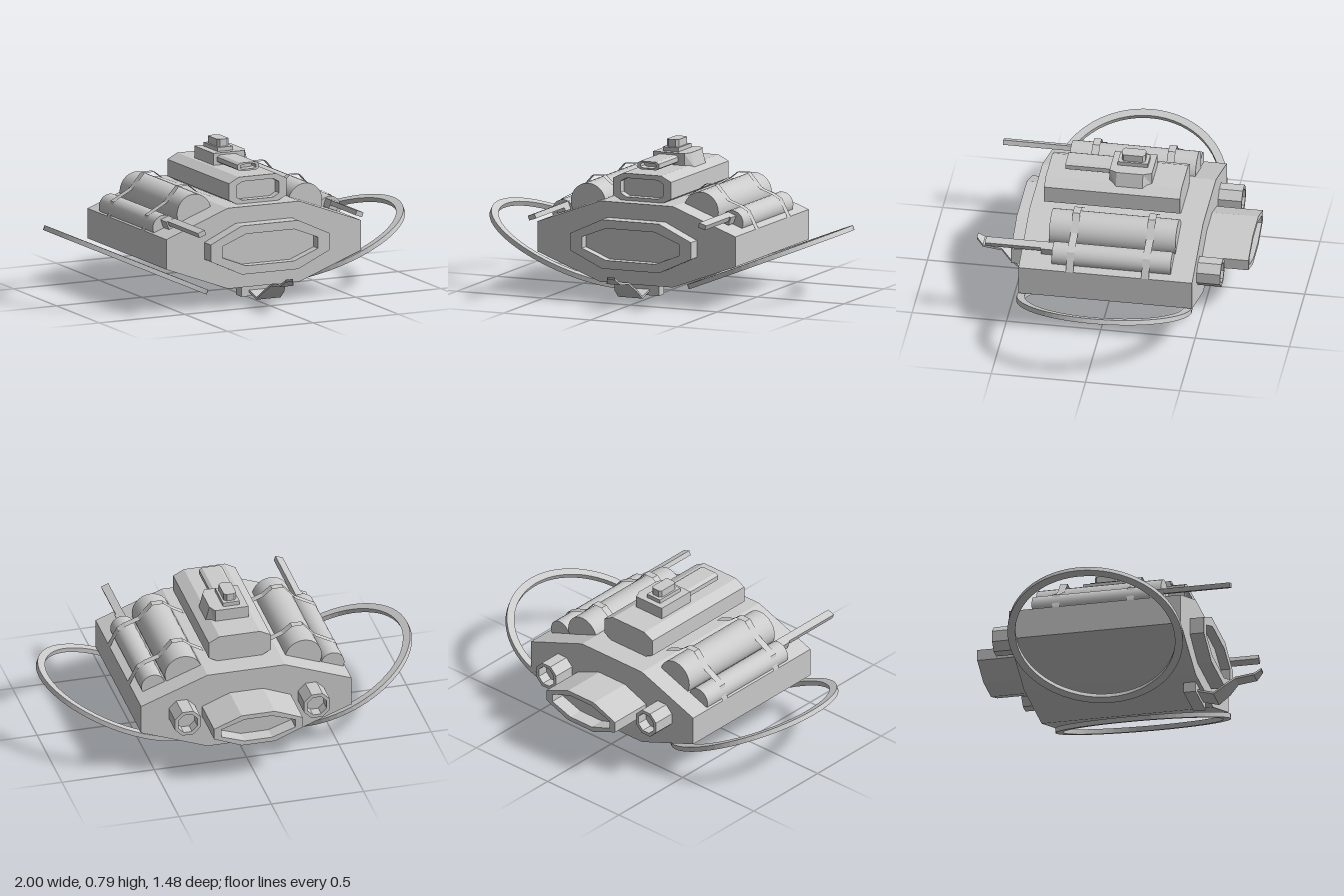
import * as THREE from 'three';

const material = new THREE.MeshStandardMaterial({ color: 0xcccccc, flatShading: true });
const smooth = new THREE.MeshStandardMaterial({ color: 0xcccccc });
const sheetMaterial = new THREE.MeshStandardMaterial({ color: 0xcccccc, flatShading: true, side: THREE.DoubleSide });

// Chamfered rectangle: half sizes w, h; flat top half-width a, flat side half-height b
const octagon = (w, h, a, b) => [[a, h], [-a, h], [-w, b], [-w, -b], [-a, -h], [a, -h], [w, -b], [w, b]]
  .map(([x, y]) => new THREE.Vector2(x, y));

// Prism from z0 to z1, optionally with an opening through it
function prism(points, z0, z1, hole) {
  const shape = new THREE.Shape(points);
  if (hole) shape.holes.push(new THREE.Path(hole));
  const geo = new THREE.ExtrudeGeometry(shape, { depth: z1 - z0, bevelEnabled: false });
  return geo.translate(0, 0, z0);
}

// Strip sheet: each row is [left point, right point]
function sheet(rows) {
  const index = [];
  for (let i = 0; i < rows.length - 1; i++) {
    const k = i * 2;
    index.push(k, k + 1, k + 2, k + 1, k + 3, k + 2);
  }
  const geo = new THREE.BufferGeometry();
  geo.setAttribute('position', new THREE.Float32BufferAttribute(rows.flat(2), 3));
  geo.setIndex(index);
  geo.computeVertexNormals();
  return geo;
}

export function createModel() {
  const model = new THREE.Group();
  model.name = 'craft';

  const add = (name, geo, x = 0, y = 0, z = 0, mat = material) => {
    const mesh = new THREE.Mesh(geo, mat);
    mesh.name = name;
    mesh.position.set(x, y, z);
    model.add(mesh);
    return mesh;
  };
  const box = (name, w, h, d, x, y, z) => add(name, new THREE.BoxGeometry(w, h, d), x, y, z);

  // Recessed housing: solid body up to zMid, open rim from zMid to zEnd
  const recessed = (name, outer, inner, x, y, zBase, zMid, zEnd) => {
    const span = (a, b, hole) => prism(outer, Math.min(a, b), Math.max(a, b), hole);
    add(name + 'Body', span(zBase, zMid), x, y);
    add(name + 'Rim', span(zMid, zEnd, inner), x, y);
  };

  // Main hull with its front intake and rear engine
  add('hull', prism(octagon(0.57, 0.215, 0.21, 0.08), -0.495, 0.425), 0, 0.31);
  recessed('frontIntake', octagon(0.348, 0.13, 0.165, 0.045), octagon(0.28, 0.085, 0.14, 0.03), 0, 0.31, 0.42, 0.45, 0.5);
  recessed('rearEngine', octagon(0.24, 0.09, 0.09, 0.03), octagon(0.2, 0.065, 0.075, 0.022), 0, 0.31, -0.49, -0.66, -0.74);

  // Upper deck block
  recessed('deck', octagon(0.168, 0.075, 0.11, 0.045), octagon(0.125, 0.05, 0.09, 0.03), 0, 0.594, -0.365, 0.31, 0.355);

  // Turret base, chamfered on one side only
  const base = new THREE.Shape([[-0.09, -0.02], [0.09, -0.02], [0.13, 0.02], [0.13, 0.16], [0.09, 0.205], [-0.09, 0.205]]
    .map(([x, y]) => new THREE.Vector2(x, y)));
  const baseGeo = new THREE.ExtrudeGeometry(base, { depth: 0.075, bevelEnabled: false });
  // Draw the chamfered side inward towards the top
  const p = baseGeo.attributes.position;
  for (let i = 0; i < p.count; i++) {
    if (p.getZ(i) > 0.05 && p.getX(i) > 0.1) p.setX(i, 0.11);
  }
  add('turretBase', baseGeo.rotateX(-Math.PI / 2), 0, 0.658, 0);
  box('turretPlate', 0.09, 0.025, 0.16, -0.005, 0.742, -0.095);
  add('turretSight', prism(octagon(0.034, 0.0625, 0.02, 0.05), 0, 0.045).rotateX(-Math.PI / 2), -0.005, 0.748, -0.095);
  recessed('turretBarrel', octagon(0.062, 0.022, 0.045, 0.012), octagon(0.045, 0.013, 0.033, 0.007), -0.008, 0.7, 0, 0.21, 0.26);

  // Tanks, straps, guns, thrusters and skid rings for each side
  const sides = [
    { s: -1, name: 'right', bigX: 0.34, smallX: 0.5, smallY: 0.42, gunX: 0.487, gunEnd: 0.675, gunY: 0.458,
      ringX: 0.58, ringY: 0.2, tilt: 0.424 },
    { s: 1, name: 'left', bigX: 0.31, smallX: 0.472, smallY: 0.433, gunX: 0.465, gunEnd: 0.615, gunY: 0.468,
      ringX: 0.565, ringY: 0.21, tilt: 0.38 },
  ];
  for (const o of sides) {
    const { s, name } = o;
    add(name + 'LargeTank', new THREE.CylinderGeometry(0.1, 0.1, 0.67, 28).rotateX(Math.PI / 2), s * o.bigX, 0.488, -0.045, smooth);
    add(name + 'SmallTank', new THREE.CylinderGeometry(0.064, 0.064, 0.63, 24).rotateX(Math.PI / 2), s * o.smallX, o.smallY, -0.06, smooth);

    // Straps folded over both tanks
    const bx = o.bigX, sx = o.smallX, sy = o.smallY;
    const path = [[0.17, 0.535], [bx - 0.08, 0.57], [bx - 0.03, 0.61], [bx + 0.03, 0.61], [bx + 0.1, 0.53],
      [sx + 0.01, sy + 0.072], [sx + 0.05, sy + 0.05], [0.57, 0.39]];
    for (const z of [-0.245, 0.155]) {
      const rows = path.map(([x, y]) => [[s * x, y, z - 0.02], [s * x, y, z + 0.02]]);
      add(name + 'Strap', sheet(rows), 0, 0, 0, sheetMaterial);
    }

    // Gun: short mount and long barrel, rolled slightly
    const length = o.gunEnd - 0.27;
    const barrel = box(name + 'GunBarrel', 0.042, 0.026, length, s * o.gunX, o.gunY, 0.27 + length / 2);
    const mount = box(name + 'GunMount', 0.05, 0.045, 0.08, s * o.gunX, o.gunY - 0.01, 0.28);
    barrel.rotation.z = mount.rotation.z = -s * 0.35;

    // Rear thruster tube
    recessed(name + 'Thruster', octagon(0.07, 0.07, 0.03, 0.03), octagon(0.052, 0.052, 0.022, 0.022),
      s * 0.35, 0.325, -0.48, -0.56, -0.62);

    // Tilted skid ring
    const ring = new THREE.Shape().absarc(0, 0, 0.461, 0, Math.PI * 2);
    ring.holes.push(new THREE.Path().absarc(0, 0, 0.42, 0, Math.PI * 2, true));
    const ringGeo = new THREE.ExtrudeGeometry(ring, { depth: 0.026, bevelEnabled: false, curveSegments: 32 });
    ringGeo.translate(0, 0, -0.013).rotateX(Math.PI / 2);
    add(name + 'SkidRing', ringGeo, s * o.ringX, o.ringY, -0.03).rotation.z = s * o.tilt;
  }

  // Chin mount and the bent tongue in front of it
  add('chinMount', prism(octagon(0.12, 0.03, 0.12, 0.01), 0.34, 0.405), 0, 0.07);
  const tongue = [[0.07, 0.065, 0.4], [0.07, 0.04, 0.49], [0.065, 0.085, 0.55], [0.04, 0.13, 0.6], [0.04, 0.143, 0.7], [0.02, 0.175, 0.735]];
  const layer = (dy) => sheet(tongue.map(([w, y, z]) => [[-w - 0.005, y + dy, z], [w - 0.005, y + dy, z]]));
  add('tongueTop', layer(0.008), 0, 0, 0, sheetMaterial);
  add('tongueBottom', layer(-0.004), 0, 0, 0, sheetMaterial);
  for (const s of [-1, 1]) {
    const edge = tongue.map(([w, y, z]) => [[s * w - 0.005, y - 0.004, z], [s * w - 0.005, y + 0.008, z]]);
    add('tongueEdge', sheet(edge), 0, 0, 0, sheetMaterial);
  }

  return model;
}
